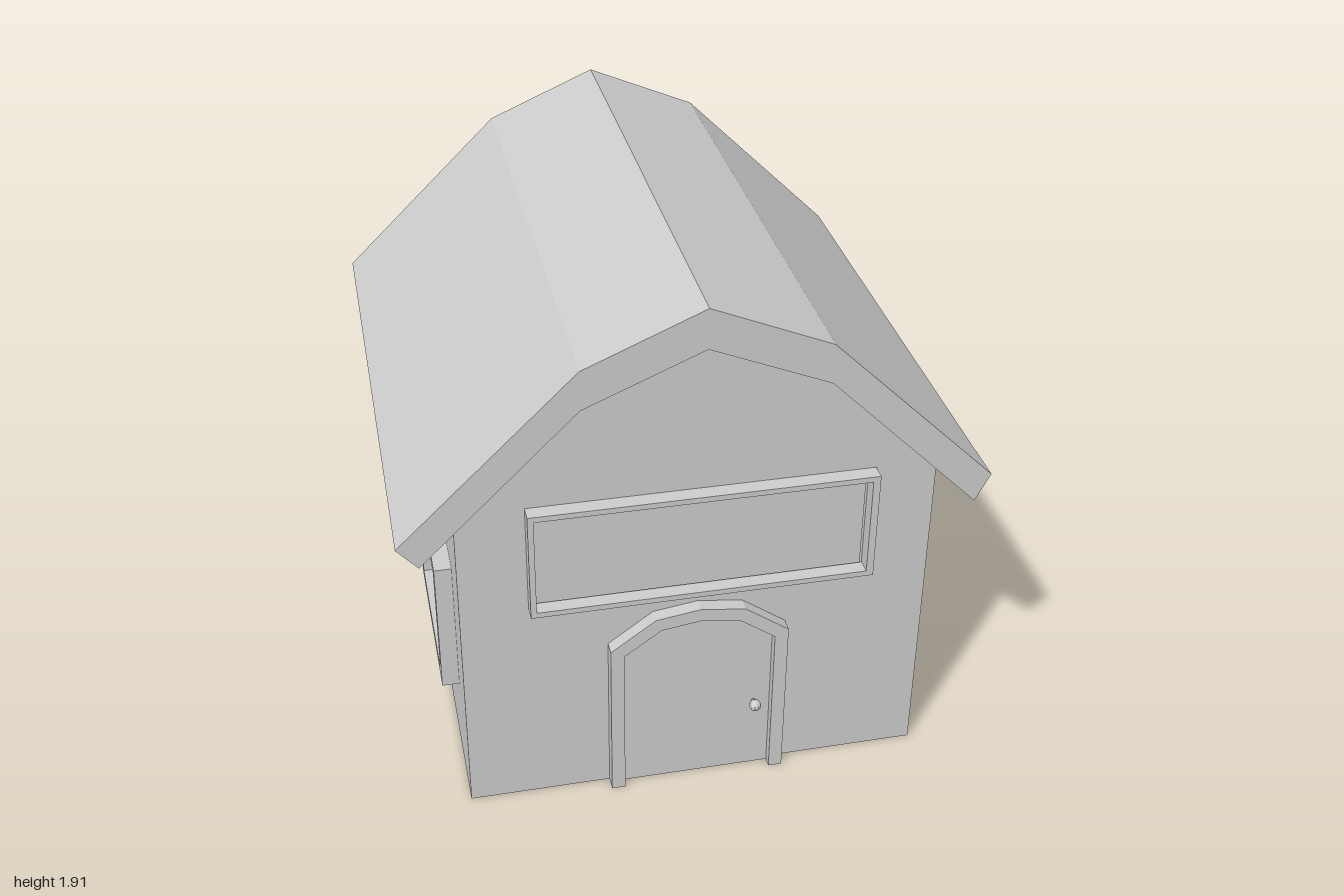
import * as THREE from 'three';

const material = new THREE.MeshStandardMaterial({ color: 0xcccccc, flatShading: true });
const WALL_FRONT = 0.935, WALL_BACK = -0.92;

// Solid from an outline (and an optional hole) drawn in xy, spanning z0..z1
function slab(name, outline, z0, z1, hole) {
  const toPoints = (list) => list.map(([x, y]) => new THREE.Vector2(x, y));
  const shape = new THREE.Shape(toPoints(outline));
  if (hole) shape.holes.push(new THREE.Path(toPoints(hole)));
  const geometry = new THREE.ExtrudeGeometry(shape, { depth: z1 - z0, bevelEnabled: false });
  geometry.translate(0, 0, z0);
  const mesh = new THREE.Mesh(geometry, material);
  mesh.name = name;
  return mesh;
}

const rect = (x0, y0, x1, y1) => [[x0, y0], [x1, y0], [x1, y1], [x0, y1]];

// Arched doorway outline, left foot over the top to the right foot
const arch = (w, shoulder, mid, midY, top) => [
  [-w, 0], [-w, shoulder], [-mid, midY], [0, top], [mid, midY], [w, shoulder], [w, 0],
];

// Door facing +z with its back on z = 0
function createDoor(name) {
  const door = new THREE.Group();
  door.name = name;
  const outer = arch(0.31, 0.62, 0.155, 0.733, 0.755);
  const inner = arch(0.2625, 0.595, 0.135, 0.687, 0.706);
  door.add(slab('doorFrame', [...outer, ...inner.slice().reverse()], 0, 0.05));
  door.add(slab('doorPanel', inner, 0, 0.015));

  const knob = new THREE.Mesh(new THREE.SphereGeometry(0.021, 10, 8), material);
  knob.name = 'doorKnob';
  knob.position.set(0.205, 0.29, 0.043);
  const stem = new THREE.Mesh(new THREE.CylinderGeometry(0.008, 0.008, 0.03, 8), material);
  stem.name = 'knobStem';
  stem.rotation.x = Math.PI / 2;
  stem.position.set(0.205, 0.29, 0.027);
  door.add(knob, stem);
  return door;
}

// Side window facing +z with its back on z = 0
function createWindow(name) {
  const win = new THREE.Group();
  win.name = name;
  win.add(slab('windowFrame', rect(-0.335, 0.365, 0.335, 0.867), 0, 0.06,
    rect(-0.287, 0.405, 0.287, 0.825)));
  win.add(slab('windowPane', rect(-0.287, 0.405, 0.287, 0.825), 0, 0.01));
  return win;
}

export function createModel() {
  const barn = new THREE.Group();
  barn.name = 'barn';

  // Walls with a gambrel gable
  barn.add(slab('walls', [
    [-0.8, 0], [0.81, 0], [0.81, 1.2], [0.41, 1.6], [0.005, 1.77], [-0.395, 1.6], [-0.8, 1.2],
  ], WALL_BACK, WALL_FRONT));

  // Roof shell overhanging all round
  barn.add(slab('roof', [
    [-0.99, 1.16], [-0.92, 1.08], [-0.395, 1.6], [0.005, 1.77], [0.41, 1.6], [0.93, 1.08],
    [0.98, 1.18], [0.41, 1.74], [0.005, 1.912], [-0.395, 1.74],
  ], -0.995, 1));

  // Wide framed board above the front door
  barn.add(slab('boardFrame', rect(-0.57, 0.813, 0.6, 1.216), WALL_FRONT, 0.99,
    rect(-0.55, 0.833, 0.575, 1.196)));
  barn.add(slab('boardPanel', rect(-0.55, 0.838, 0.565, 1.19), WALL_FRONT, 0.945));

  // Front door, and a back door set off to one side
  const frontDoor = createDoor('frontDoor');
  frontDoor.position.set(0.005, 0, WALL_FRONT);
  const backDoor = createDoor('backDoor');
  backDoor.rotation.y = Math.PI;
  backDoor.position.set(0.345, 0, WALL_BACK - 0.01);
  backDoor.position.z = WALL_BACK;
  barn.add(frontDoor, backDoor);

  // One window on each side wall
  for (const [name, side, x] of [['leftWindow', 1, 0.81], ['rightWindow', -1, -0.8]]) {
    const win = createWindow(name);
    win.rotation.y = side * Math.PI / 2;
    win.position.set(x, 0, 0.405);
    barn.add(win);
  }

  return barn;
}
